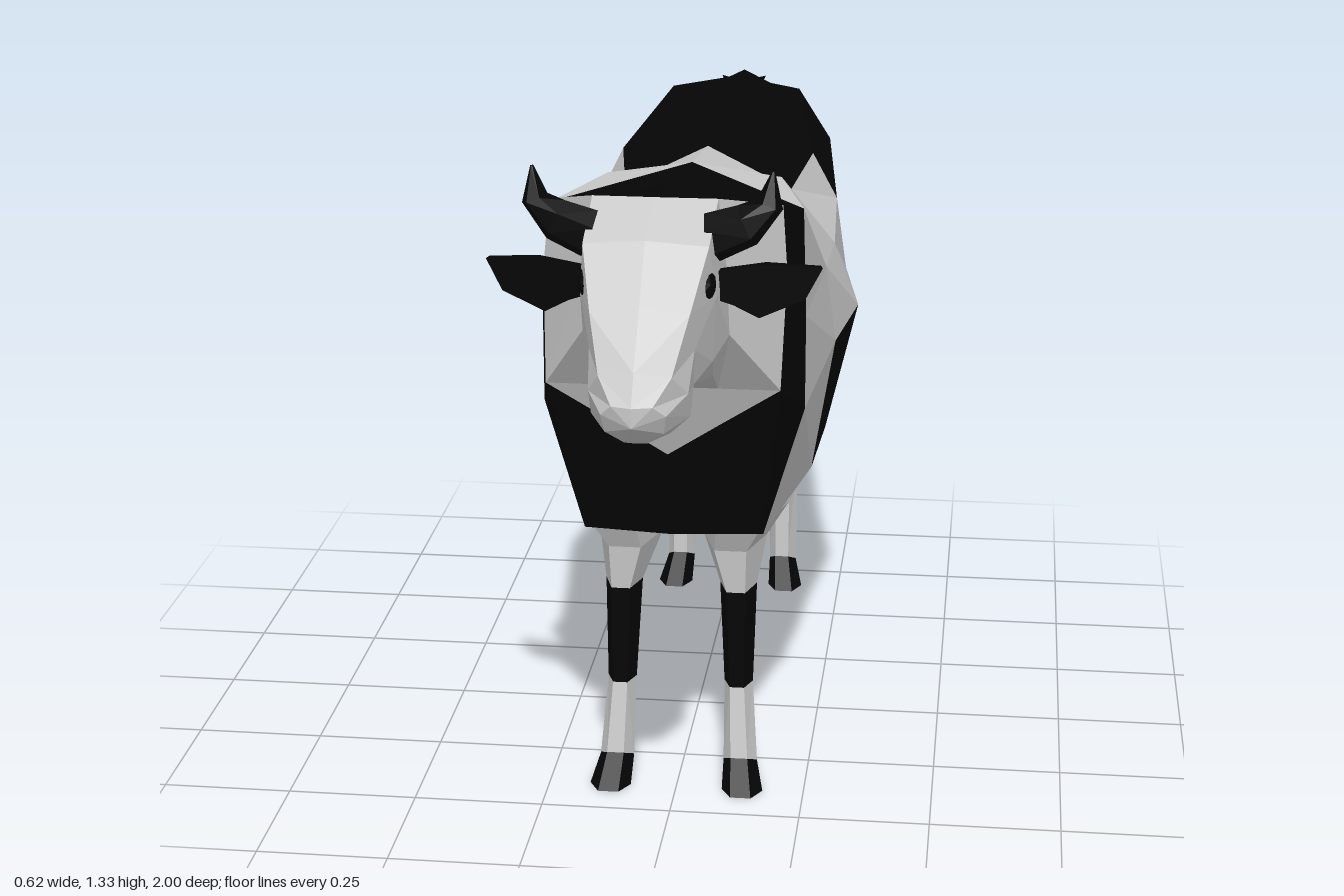
import * as THREE from 'three';

const WHITE = new THREE.MeshStandardMaterial({ color: 0xcccccc, flatShading: true });
const BLACK = new THREE.MeshStandardMaterial({ color: 0x050505, flatShading: true });

// Half cross-sections: top centre, top edge, upper side, mid side, low side, bottom centre
const HEAD = [
  [[0, .99, 1.0], [.035, .99, .99], [.055, .97, .975], [.05, .935, .96], [.02, .91, .94], [0, .905, .93]],
  [[0, 1.04, .965], [.062, 1.03, .95], [.085, .99, .91], [.085, .94, .88], [.05, .905, .87], [0, .905, .87]],
  [[0, 1.13, .89], [.085, 1.12, .885], [.09, 1.05, .86], [.085, .98, .83], [.05, .95, .82], [0, .945, .82]],
  [[0, 1.225, .81], [.108, 1.215, .8], [.118, 1.12, .77], [.11, 1.0, .76], [.07, .955, .76], [0, .955, .76]],
  [[0, 1.27, .69], [.11, 1.265, .67], [.125, 1.15, .68], [.13, 1.02, .67], [.1, .94, .66], [0, .93, .66]],
];
const BODY = [
  [[0, 1.24, .53], [.21, 1.218, .52], [.22, 1.1, .54], [.213, .89, .58], [.1, .89, .58], [0, .89, .58]],
  [[0, 1.24, .53], [.21, 1.218, .52], [.22, 1.1, .54], [.213, .89, .58], [.105, .812, .545], [0, .735, .51]],
  [[0, 1.21, .37], [.235, 1.17, .36], [.245, .98, .41], [.245, .8, .41], [.17, .55, .42], [0, .55, .44]],
  [[0, 1.19, .11], [.17, 1.155, .07], [.26, .98, .08], [.28, .83, .08], [.235, .56, .07], [0, .56, .08]],
  [[0, 1.155, -.17], [.17, 1.07, -.17], [.26, .96, -.17], [.31, .83, -.17], [.243, .545, -.22], [0, .48, -.23]],
  [[0, 1.14, -.4], [.2, 1.1, -.36], [.25, 1.0, -.38], [.27, .84, -.41], [.22, .63, -.48], [0, .64, -.51]],
  [[0, 1.18, -.73], [.14, 1.15, -.75], [.21, 1.04, -.75], [.225, .87, -.76], [.18, .7, -.8], [0, .65, -.78]],
  [[0, 1.15, -.94], [.06, 1.12, -.94], [.12, 1.05, -.925], [.12, .95, -.93], [.1, .73, -.86], [0, .71, -.85]],
];
const cap = (...p) => Array(6).fill(p);

// Skins neighbouring rings; mask letters, repeated as needed, colour each panel (d = split diagonally)
function skin(rings, closed, mask) {
  const out = { w: [], b: [] };
  const n = rings[0].length, cols = closed ? n : n - 1;
  for (let i = 0; i < rings.length - 1; i++) {
    const row = mask[i % mask.length];
    for (let j = 0; j < cols; j++) {
      const k = (j + 1) % n;
      const a = rings[i][j], b = rings[i][k], c = rings[i + 1][k], d = rings[i + 1][j];
      const m = row[j % row.length];
      if (m === 'd') {
        out.b.push(...a, ...b, ...d);
        out.w.push(...b, ...c, ...d);
      } else out[m].push(...a, ...b, ...c, ...a, ...c, ...d);
    }
  }
  return out;
}

// Reflects triangles across x = 0, keeping them facing outward
function mirror(p) {
  const r = [];
  for (let i = 0; i < p.length; i += 9)
    for (const o of [0, 6, 3]) r.push(-p[i + o], p[i + o + 1], p[i + o + 2]);
  return r;
}

function part(name, tris) {
  const g = new THREE.Group();
  g.name = name;
  for (const [key, mat, label] of [['w', WHITE, 'White'], ['b', BLACK, 'Black']]) {
    if (!tris[key].length) continue;
    const geo = new THREE.BufferGeometry();
    geo.setAttribute('position', new THREE.Float32BufferAttribute(tris[key], 3));
    geo.computeVertexNormals();
    const mesh = new THREE.Mesh(geo, mat);
    mesh.name = name + label;
    g.add(mesh);
  }
  return g;
}

const flip = t => ({ w: mirror(t.w), b: mirror(t.b) });
const whole = (name, t) => {
  const f = flip(t);
  return part(name, { w: [...t.w, ...f.w], b: [...t.b, ...f.b] });
};

// Six-sided rings around stations [x, y, z, halfWidth, halfDepth], tip closed
function limb(stations, dirs, mask) {
  const rings = stations.map(([x, y, z, ra, rb], i) => {
    const T = new THREE.Vector3(...dirs[i % dirs.length]).normalize();
    const A = new THREE.Vector3(0, 0, 1).cross(T).normalize();
    const B = T.clone().cross(A);
    return Array.from({ length: 6 }, (_, k) => {
      const t = k * Math.PI / 3;
      return new THREE.Vector3(x, y, z)
        .addScaledVector(A, ra * Math.cos(t))
        .addScaledVector(B, rb * Math.sin(t) / .866).toArray();
    });
  });
  const end = stations[stations.length - 1].slice(0, 3);
  return skin([...rings, cap(...end)], true, mask);
}

export function createModel() {
  const cow = new THREE.Group();
  cow.name = 'cow';
  const pair = (name, t) => cow.add(part(name + 'Left', t), part(name + 'Right', flip(t)));

  // Head and patched body
  cow.add(whole('head', skin([cap(0, .955, 1.0), ...HEAD], false, ['w'])));
  cow.add(whole('body', skin([HEAD[4], ...BODY, cap(0, 1.0, -.97)], false,
    ['bwwww', 'wwwww', 'bbbbb', 'dwwww', 'wwwbb', 'bwwwb', 'bbbwb', 'bbbww', 'bbwww'])));

  // Legs with dark bands and tilted hooves
  const D = [0, -1, 0], H = [0, -2, 1];
  pair('frontLeg', limb([
    [.12, .68, .25, .075, .14], [.12, .55, .24, .085, .155], [.102, .49, .265, .062, .1],
    [.112, .4, .298, .036, .057], [.115, .2, .317, .028, .037],
    [.122, .045, .35, .033, .034], [.13, 0, .395, .04, .036],
  ], [D, D, D, D, D, H, D], ['w', 'w', 'w', 'b', 'w', 'b', 'b']));
  pair('hindLeg', limb([
    [.115, .73, -.67, .065, .12], [.12, .635, -.667, .08, .132], [.118, .44, -.685, .04, .066],
    [.118, .36, -.73, .032, .05], [.118, .05, -.702, .03, .034], [.127, 0, -.66, .038, .04],
  ], [D, D, D, D, H, D], ['w', 'b', 'w', 'w', 'b', 'b']));

  // Horns curving outward and up
  pair('horn', limb([
    [.1, 1.21, .73, .045, .035], [.165, 1.235, .725, .038, .03],
    [.203, 1.27, .715, .024, .02], [.208, 1.325, .708, .003, .003],
  ], [[1, .2, 0], [1, .5, 0], [.4, 1, 0], [.1, 1, 0]], ['b']));

  // Hanging tail
  cow.add(part('tail', limb([
    [0, 1.14, -.925, .05, .03], [0, 1.08, -.97, .025, .018], [0, .95, -.987, .014, .012],
    [0, .83, -.988, .016, .01], [0, .72, -.99, .005, .005],
  ], [D], ['b'])));

  // Leaf-shaped ears, and eyes
  const outline = [[0, .02], [.1, .03], [.195, .02], [.165, -.035], [.085, -.065], [.04, -.04], [0, -.025]];
  const earGeo = new THREE.ExtrudeGeometry(
    new THREE.Shape(outline.map(p => new THREE.Vector2(...p))), { depth: .018, bevelEnabled: false });
  for (const [s, side] of [[1, 'Left'], [-1, 'Right']]) {
    const holder = new THREE.Group();
    holder.name = 'ear' + side;
    const ear = new THREE.Mesh(earGeo, BLACK);
    ear.name = 'earBlade' + side;
    ear.position.set(.1, 1.135, .73);
    ear.rotation.y = .24;
    holder.add(ear);
    holder.scale.x = s;
    const eye = new THREE.Mesh(new THREE.IcosahedronGeometry(1, 1), BLACK);
    eye.name = 'eye' + side;
    eye.position.set(s * .105, 1.145, .79);
    eye.scale.set(.014, .025, .03);
    cow.add(holder, eye);
  }
  return cow;
}
